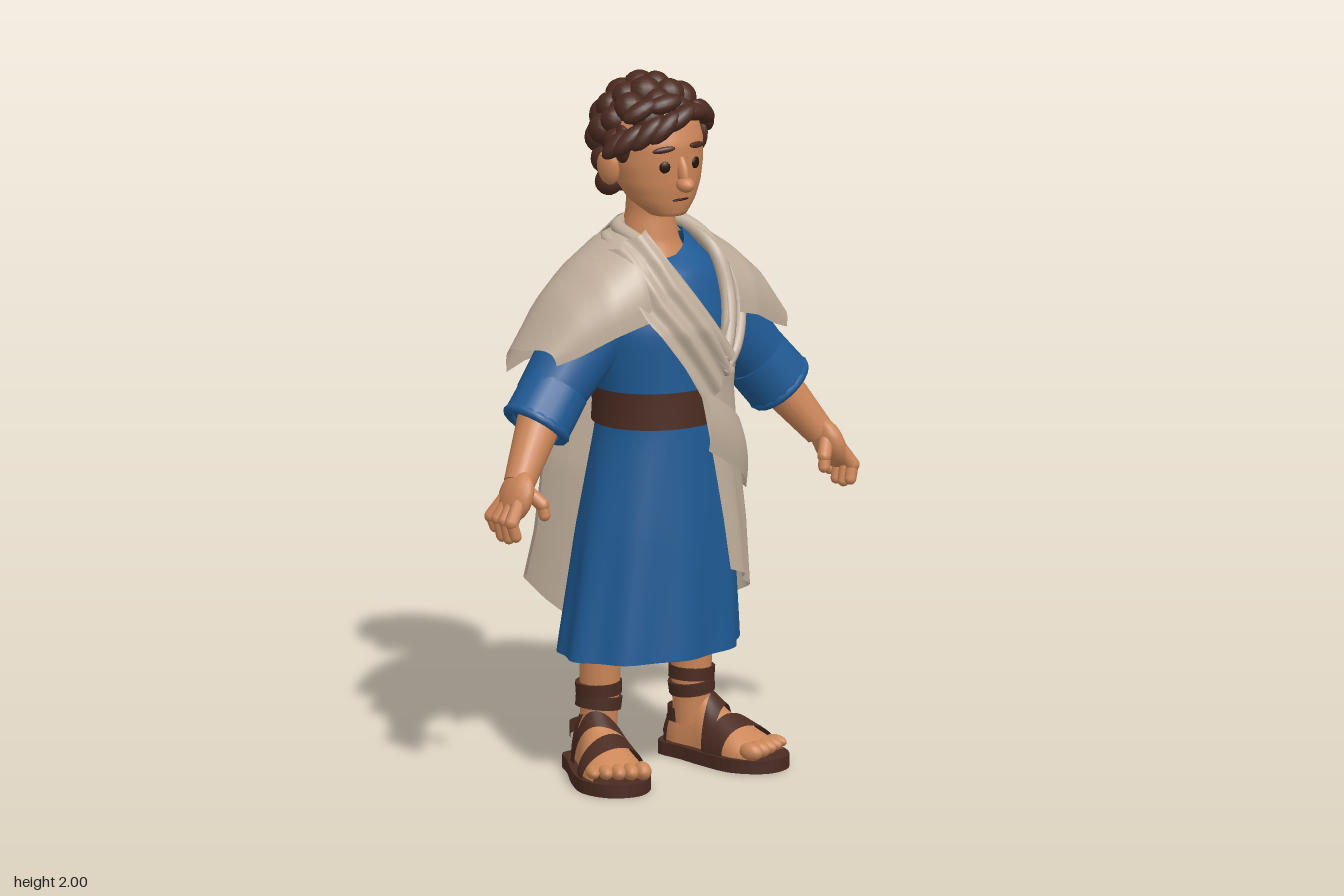
import * as THREE from 'three';
import { mergeVertices } from 'three/addons/utils/BufferGeometryUtils.js';

const paint = (name, color) => new THREE.MeshStandardMaterial({ name, color, side: THREE.DoubleSide });
const V = (x, y, z) => new THREE.Vector3(x, y, z);
const { sin, cos, PI, max, min, abs } = Math;
const lerp = THREE.MathUtils.lerp;

// Linear lookup in a table whose first column ascends
function look(table, t) {
  let i = 0;
  while (i < table.length - 2 && t > table[i + 1][0]) i++;
  const a = table[i], b = table[i + 1];
  const k = min(1, max(0, (t - a[0]) / (b[0] - a[0])));
  return a.slice(1).map((n, j) => lerp(n, b[j + 1], k));
}

// Grid surface from a rule (u, v) -> [x, y, z]
function sheet(fn, nu, nv) {
  const pos = [], idx = [];
  for (let j = 0; j <= nv; j++) for (let i = 0; i <= nu; i++) pos.push(...fn(i / nu, j / nv));
  for (let j = 0; j < nv; j++) for (let i = 0; i < nu; i++) {
    const a = j * (nu + 1) + i, b = a + nu + 1;
    idx.push(a, a + 1, b + 1, a, b + 1, b);
  }
  let g = new THREE.BufferGeometry();
  g.setAttribute('position', new THREE.Float32BufferAttribute(pos, 3));
  g.setIndex(idx);
  g = mergeVertices(g, 1e-4);
  g.computeVertexNormals();
  return g;
}

// Vertical stack of ellipses; rows are y, rx, rz, cz
function stack(rows, sides = 24, steps = 20) {
  return sheet((u, v) => {
    const y = lerp(rows[0][0], rows[rows.length - 1][0], v), [rx, rz, cz] = look(rows, y);
    return [sin(u * 2 * PI) * rx, y, cz + cos(u * 2 * PI) * rz];
  }, sides, steps);
}

// Body outline: y, rx, rz, cz, cx
const BODY = [[0.35, 0.275, 0.195, 0.04, -0.034], [0.7, 0.238, 0.18, 0.04, -0.014], [1.0, 0.19, 0.16, 0.04, 0], [1.1, 0.185, 0.155, 0.04, 0],
  [1.3, 0.22, 0.17, 0.025, 0], [1.42, 0.21, 0.15, 0.005, 0], [1.5, 0.14, 0.12, 0, 0], [1.56, 0.09, 0.085, -0.01, 0]];
function onBody(th, y, off) {
  const [rx, rz, cz, cx] = look(BODY, y);
  const fold = 1 + 0.035 * cos(9 * th) * min(1, max(0, (1 - y) / 0.6));
  return [cx + sin(th) * (rx * fold + off), y, cz + cos(th) * (rz * fold + off)];
}

export function createModel() {
  const root = new THREE.Group();
  root.name = 'robedFigure';
  const skin = paint('skin', 0xcc8658), blue = paint('tunicBlue', 0x1f5a94), cloth = paint('cloakBeige', 0xc0ae9b);
  const hair = paint('hairBrown', 0x4a2a20), leather = paint('leather', 0x4a2b21), dark = paint('eyeDark', 0x24140f);

  const add = (parent, name, geo, mat) => {
    const m = new THREE.Mesh(geo, mat);
    m.name = name;
    parent.add(m);
    return m;
  };
  const ball = (parent, name, mat, p, s, rot = [0, 0, 0]) => {
    const m = add(parent, name, new THREE.SphereGeometry(1, 14, 10), mat);
    m.position.set(...p); m.scale.set(...s); m.rotation.set(...rot);
    return m;
  };
  const limb = (parent, name, mat, p, q, r0, r1, round = false) => {
    const a = V(...p), b = V(...q), d = b.clone().sub(a), L = d.length();
    const g = round ? new THREE.CapsuleGeometry(r0, L, 4, 10) : new THREE.CylinderGeometry(r1, r0, L, 16);
    const m = add(parent, name, g, mat);
    m.position.copy(a).add(b).multiplyScalar(0.5);
    m.quaternion.setFromUnitVectors(V(0, 1, 0), d.normalize());
    return m;
  };
  const tube = (parent, name, mat, pts, r) => add(parent, name,
    new THREE.TubeGeometry(new THREE.CatmullRomCurve3(pts.map(p => V(...p))), 28, r, 8), mat);

  // Tunic with a scooped neckline, and belt
  add(root, 'tunic', sheet((u, v) => {
    const y = lerp(0.35, 1.55, v), th = u * 2 * PI, p = onBody(th, y, 0);
    p[1] -= 0.06 * max(0, cos(th)) * max(0, (y - 1.44) / 0.1);
    return p;
  }, 72, 36), blue);
  add(root, 'belt', sheet((u, v) => onBody(u * 2 * PI, lerp(1.015, 1.12, v), 0.012), 40, 2), leather);
  add(root, 'neck', stack([[1.42, 0.13, 0.115, 0], [1.52, 0.085, 0.08, -0.01], [1.6, 0.068, 0.068, -0.01], [1.7, 0.066, 0.07, 0]]), skin);

  // Back of the cloak: y fraction -> y, left x, right x, z, fold strength, forward curl
  const BACK = [[0, 1.58, -0.1, 0.1, -0.085, 0, 0.05], [0.08, 1.5, -0.18, 0.18, -0.145, 0, 0.07], [0.17, 1.4, -0.26, 0.26, -0.175, 0.1, 0.05],
    [0.3, 1.22, -0.29, 0.28, -0.193, 0.25, 0.05], [0.6, 0.85, -0.29, 0.31, -0.215, 0.5, 0.07], [0.85, 0.6, -0.29, 0.37, -0.245, 0.8, 0.045], [1, 0.44, -0.3, 0.4, -0.26, 1, 0.01]];
  const HEM = [[0, 0.55], [0.2, 0.43], [0.48, 0.285], [0.68, 0.32], [0.85, 0.44], [1, 0.57]];
  const FOLDS = [[0, -0.07], [0.05, 0], [0.15, 0.025], [0.28, 0.045], [0.38, 0.015], [0.47, -0.02], [0.56, 0], [0.64, 0.02],
    [0.74, -0.03], [0.83, 0.015], [0.9, 0.038], [0.96, 0.02], [1, -0.07]];
  add(root, 'cloakBack', sheet((u, v) => {
    const [y, xl, xr, z, strength, curl] = look(BACK, v);
    const drop = (look(HEM, u)[0] - 0.44) * max(0, (v - 0.3) / 0.7);
    return [lerp(xl, xr, u), y + drop, z - strength * look(FOLDS, u)[0] + curl * abs(2 * u - 1) ** 3];
  }, 50, 36), cloth);

  // Cloak over the shoulders: x -> top y, bottom y, half depth, extra drop behind
  const CAPE = [[0.06, 1.575, 1.34, 0.14, 0.14], [0.14, 1.55, 1.33, 0.165, 0.14], [0.24, 1.48, 1.30, 0.165, 0.12], [0.33, 1.40, 1.25, 0.135, 0.07], [0.43, 1.25, 1.21, 0.1, 0.05]];
  for (const s of [-1, 1]) add(root, s > 0 ? 'leftShoulderCape' : 'rightShoulderCape', sheet((u, v) => {
    const a = u * PI, front = max(0, cos(a)), inner = 0.08 + (s > 0 ? 0.09 : 0.04) * front;
    const x = lerp(inner, 0.41 + 0.02 * sin(a) - 0.02 * front, v), [top, low, depth, drop] = look(CAPE, x);
    return [s * x, lerp(low - drop * max(0, -cos(a)), top, sin(a) ** 0.8), -0.012 + depth * cos(a) + 0.04 * front * (1 - v)];
  }, 24, 16), cloth);

  // Cloak panel wrapped around the left side
  const EDGE = [[0.5, 0.13], [0.75, 0.09], [0.9, 0.06], [1.1, 0.02], [1.2, -0.04], [1.26, 0.08], [1.31, 0.13], [1.45, 0.16], [1.56, 0.15]];
  add(root, 'cloakSidePanel', sheet((u, v) => {
    const y = lerp(1.48, lerp(0.59, 0.33, u), v), [rx, , , cx] = look(BODY, y);
    const start = Math.asin(min(0.95, (look(EDGE, y)[0] - cx) / (rx + 0.03)));
    return onBody(lerp(start, 2.65, u), y, 0.03 + 0.008 * sin(u * 22) * v);
  }, 48, 40), cloth);
  add(root, 'hipWrap', sheet((u, v) => onBody(lerp(0.12, 2.2, u),
    lerp(lerp(1.12, 0.95, min(1, u * 1.8)), lerp(0.95, 0.78, min(1, u * 1.8)), v), 0.046 + 0.012 * sin(v * PI)), 28, 8), cloth);

  // Diagonal front drape with soft pleats
  const LOW = [[0, -0.21, 1.5], [0.35, -0.15, 1.34], [0.7, -0.05, 1.2], [1, 0.04, 1.07]];
  const HIGH = [[0, -0.08, 1.575], [0.35, -0.03, 1.45], [0.7, 0.05, 1.32], [1, 0.13, 1.2]];
  const frontZ = (x, y, off) => {
    const [rx, rz, cz] = look(BODY, y);
    return cz + (rz + off) * Math.sqrt(max(0, 1 - (x / (rx + off + 0.02)) ** 2));
  };
  add(root, 'diagonalDrape', sheet((u, v) => {
    const a = look(LOW, u), b = look(HIGH, u), x = lerp(a[0], b[0], v), y = lerp(a[1], b[1], v);
    return [x, y, frontZ(x, y, 0.044 + 0.008 * cos(v * 5 * PI))];
  }, 28, 30), cloth);

  // Rolled folds framing the neck opening
  for (let k = 0; k < 2; k++) {
    const o = k * 0.04, r = 0.022 - k * 0.004;
    tube(root, 'rightNeckFold', cloth, [[-0.04 - o, 1.56 - o, -0.075], [-0.1 - o, 1.56 - o * 0.6, -0.02], [-0.08 - o, 1.52 - o, 0.1],
      [-0.01 - o, 1.4 - o, 0.178], [0.06 - o * 0.6, 1.29 - o, 0.21], [0.12, 1.2 - o, 0.212]], r);
    tube(root, 'leftNeckFold', cloth, [[0.05 + o, 1.56 - o, -0.075], [0.11 + o, 1.555 - o * 0.7, -0.02], [0.15 + o, 1.49 - o, 0.09],
      [0.16 + o, 1.37 - o, 0.145], [0.135 + o * 0.7, 1.27 - o, 0.185], [0.1, 1.2 - o, 0.212]], r);
  }

  // Arms, hands, legs and sandals, mirrored
  for (const s of [-1, 1]) {
    const side = new THREE.Group();
    side.name = s > 0 ? 'leftLimbs' : 'rightLimbs';
    side.scale.x = s;
    root.add(side);
    limb(side, 'sleeve', blue, [0.17, 1.33, 0], [0.37, 1.1, 0.015], 0.12, 0.092);
    limb(side, 'cuff', blue, [0.335, 1.135, 0.015], [0.41, 1.045, 0.03], 0.098, 0.1);
    const rim = add(side, 'cuffRim', new THREE.TorusGeometry(0.088, 0.015, 8, 20), blue);
    rim.position.set(0.41, 1.045, 0.03);
    rim.quaternion.setFromUnitVectors(V(0, 0, 1), V(0.075, -0.09, 0.015).normalize());
    limb(side, 'forearm', skin, [0.38, 1.08, 0.02], [0.51, 0.9, 0.09], 0.068, 0.044);
    ball(side, 'palm', skin, [0.53, 0.87, 0.105], [0.037, 0.077, 0.066], [0, 0, 0.35]);
    for (let f = 0; f < 4; f++) {
      const z = 0.052 + f * 0.034, len = [0.02, 0, 0, 0.012][f];
      limb(side, 'finger', skin, [0.545, 0.86, 0.07 + f * 0.024], [0.578, 0.81, z], 0.02, 0, true);
      limb(side, 'fingerTip', skin, [0.578, 0.81, z], [0.567, 0.758 + len, z + 0.004], 0.017, 0, true);
    }
    limb(side, 'thumb', skin, [0.505, 0.885, 0.13], [0.478, 0.85, 0.16], 0.02, 0, true);
    limb(side, 'thumbTip', skin, [0.478, 0.85, 0.16], [0.474, 0.82, 0.165], 0.017, 0, true);

    // The left leg stands a little closer to the middle
    const lower = new THREE.Group();
    lower.name = 'lowerLeg';
    lower.position.x = s > 0 ? -0.045 : 0;
    side.add(lower);
    limb(lower, 'leg', skin, [0.18, 0.1, 0], [0.175, 0.5, 0.01], 0.052, 0.066);
    const foot = new THREE.Group();
    foot.name = 'foot';
    foot.position.set(0.195, 0, 0);
    foot.rotation.y = 0.3;
    lower.add(foot);
    // Sole outline
    const shape = new THREE.Shape();
    shape.setFromPoints(new THREE.SplineCurve([[0, 0.11], [0.065, 0.085], [0.078, 0], [0.102, -0.13], [0.1, -0.23], [0.04, -0.302],
      [-0.05, -0.298], [-0.104, -0.21], [-0.095, -0.1], [-0.075, 0], [-0.062, 0.085], [0, 0.11]].map(p => new THREE.Vector2(...p))).getPoints(44));
    const sole = new THREE.ExtrudeGeometry(shape, { depth: 0.038, bevelEnabled: false });
    sole.rotateX(-PI / 2);
    add(foot, 'sole', sole, leather);
    // Foot: z -> half width, height above the sole
    const FOOT = [[-0.09, 0.005, 0.03], [-0.08, 0.038, 0.08], [-0.04, 0.054, 0.14], [0.04, 0.06, 0.15], [0.1, 0.075, 0.105], [0.19, 0.089, 0.065], [0.25, 0.08, 0.035]];
    add(foot, 'footTop', sheet((u, v) => {
      const z = lerp(-0.09, 0.25, v), [w, h] = look(FOOT, z);
      return [w * cos(u * PI), 0.036 + h * sin(u * PI), z];
    }, 16, 20), skin);
    for (let t = 0; t < 5; t++)
      ball(foot, 'toe', skin, [-0.066 + t * 0.035, 0.06, 0.252 - t * t * 0.0015], [0.024 - t * 0.0015, 0.026 - t * 0.002, 0.038]);
    // Straps: back z, front z, slant
    for (const [z0, z1, slant] of [[0.13, 0.19, 0.02], [0.055, 0.1, -0.03], [-0.045, -0.01, 0.05]])
      add(foot, 'strap', sheet((u, v) => {
        const z = lerp(z0, z1, v) + slant * cos(u * PI), [w, h] = look(FOOT, z);
        return [(w + 0.012) * cos(u * PI), 0.036 + (h + 0.012) * sin(u * PI), z];
      }, 18, 3), leather);
    add(foot, 'heelStrap', sheet((u, v) => [0.064 * cos(u * PI), lerp(0.1, 0.14, v), -0.015 - 0.07 * sin(u * PI)], 16, 2), leather);
    for (const [y, tilt] of [[0.205, 0.12], [0.245, -0.05]]) {
      const wrap = add(lower, 'ankleWrap', new THREE.CylinderGeometry(0.066, 0.065, 0.036, 18), leather);
      wrap.position.set(0.18, y, 0.002);
      wrap.rotation.z = tilt;
    }
  }

  // Head and face
  const head = new THREE.Group();
  head.name = 'head';
  root.add(head);
  add(head, 'face', stack([[1.6, 0.005, 0.005, 0.085], [1.612, 0.055, 0.055, 0.08], [1.65, 0.095, 0.095, 0.05], [1.7, 0.12, 0.12, 0.033],
    [1.76, 0.134, 0.135, 0.02], [1.82, 0.136, 0.14, 0.015], [1.88, 0.125, 0.13, 0.005], [1.93, 0.08, 0.09, -0.01]], 28, 28), skin);
  ball(head, 'noseTip', skin, [0, 1.71, 0.17], [0.025, 0.022, 0.03]);
  ball(head, 'noseBridge', skin, [0, 1.745, 0.156], [0.016, 0.05, 0.022], [-0.3, 0, 0]);
  ball(head, 'mouth', dark, [0, 1.662, 0.146], [0.028, 0.0035, 0.006]);
  for (const s of [-1, 1]) {
    ball(head, 'ear', skin, [s * 0.146, 1.745, 0.0], [0.02, 0.052, 0.036], [0, s * -0.4, s * -0.15]);
    ball(head, 'eye', dark, [s * 0.052, 1.762, 0.144], [0.016, 0.017, 0.006], [0, s * 0.35, 0]);
    ball(head, 'brow', hair, [s * 0.056, 1.813, 0.145], [0.034, 0.009, 0.008], [0, s * 0.35, s * -0.12]);
    ball(head, 'sideburn', hair, [s * 0.13, 1.82, 0.045], [0.02, 0.055, 0.035]);
  }

  // Curly hair: large rounded locks spread over a cap
  ball(head, 'hairCap', hair, [0, 1.835, -0.035], [0.142, 0.14, 0.125]);
  ball(head, 'hairNape', hair, [0, 1.74, -0.065], [0.115, 0.1, 0.07]);
  const N = 64;
  for (let i = 0; i < N; i++) {
    const h = 1 - 2 * (i + 0.5) / N, r = Math.sqrt(1 - h * h), a = i * 2.39996;
    const x = 0.132 * r * cos(a), y = 1.815 + 0.138 * h, z = -0.015 + 0.132 * r * sin(a);
    if ((z > 0.03 && y < 1.89) || (z > -0.045 && y < 1.81) || y < 1.69) continue;
    const q = 0.045 + 0.004 * sin(i * 7.3);
    ball(head, 'curl', hair, [x, y, z], [q, q, q]);
  }
  for (let i = 0; i < 4; i++)
    ball(head, 'napeCurl', hair, [-0.09 + i * 0.06, 1.68, -0.08 - 0.02 * sin(i * PI / 3)], [0.04, 0.04, 0.04]);
  // Tousled fringe swept to the right: x, y, z, length, tilt
  for (const [x, y, z, l, t] of [[0.135, 1.87, 0.06, 0.055, -1.1], [0.1, 1.895, 0.105, 0.055, -0.7], [0.055, 1.905, 0.125, 0.055, -0.2], [0.0, 1.895, 0.138, 0.06, 0.5],
    [-0.05, 1.875, 0.138, 0.06, 0.75], [-0.095, 1.86, 0.118, 0.062, 0.8], [-0.135, 1.84, 0.085, 0.06, 0.75], [-0.155, 1.825, 0.055, 0.055, 0.8],
    [-0.1, 1.92, 0.09, 0.055, 0.5], [-0.03, 1.935, 0.11, 0.055, 0.2]])
    ball(head, 'fringeLock', hair, [x, y, z], [l, 0.026, 0.03], [0, x * 3, t]);
  return root;
}
